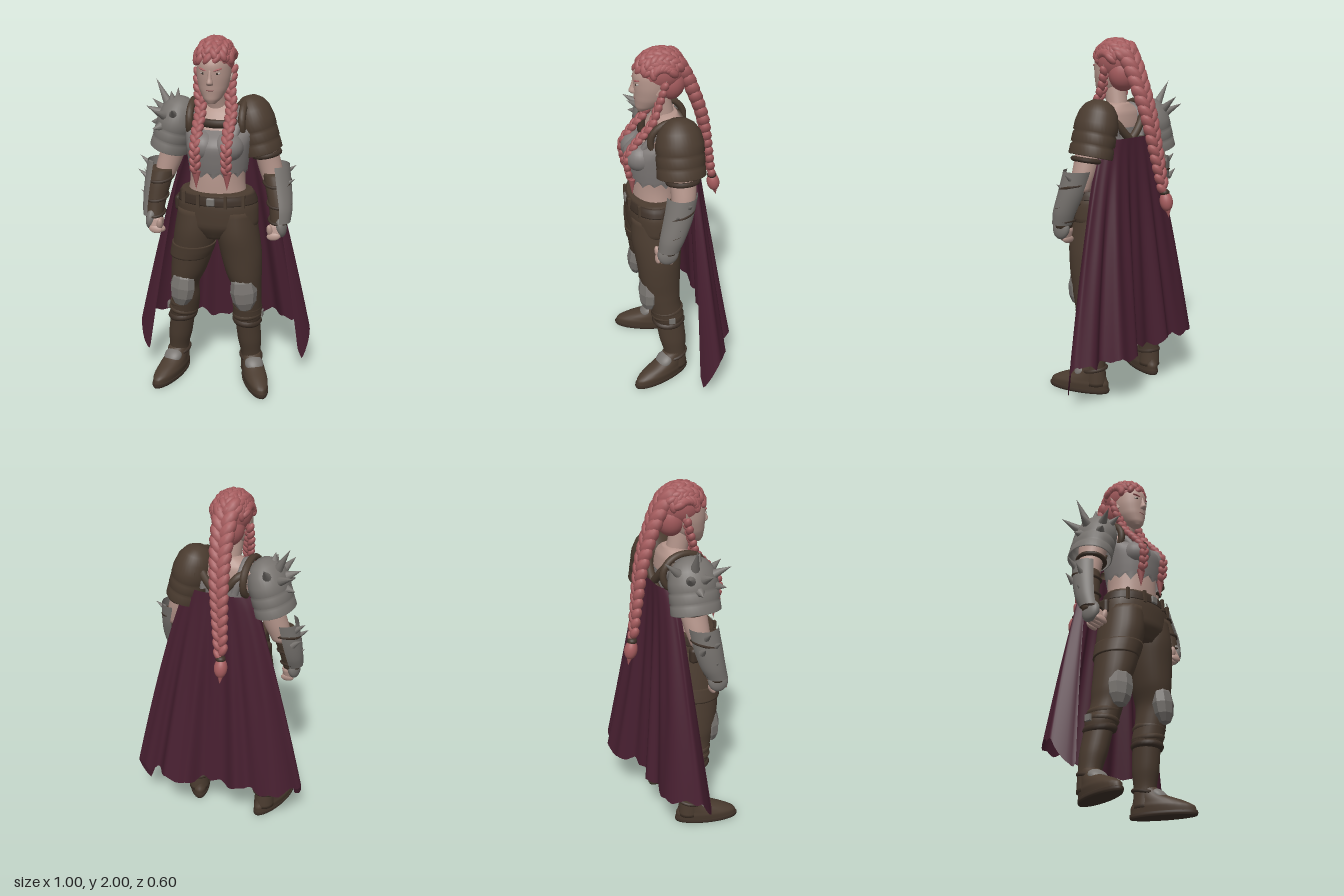
import * as THREE from 'three';
import { mergeGeometries } from 'three/addons/utils/BufferGeometryUtils.js';
import { RoundedBoxGeometry } from 'three/addons/geometries/RoundedBoxGeometry.js';

const V = (x, y, z) => new THREE.Vector3(x, y, z);
const curveOf = pts => new THREE.CatmullRomCurve3(pts.map(p => V(...p)));
const paint = (name, color, side = THREE.FrontSide) => {
  const m = new THREE.MeshStandardMaterial({ color, side });
  m.name = name;
  return m;
};

export function createModel() {
  const root = new THREE.Group();
  root.name = 'warrior';
  const skin = paint('skin', 0xb3948a), hair = paint('hair', 0xa55c5e);
  const leather = paint('leather', 0x4a3b2f, THREE.DoubleSide), dark = paint('darkLeather', 0x3d3027);
  const metal = paint('metal', 0x77736f, THREE.DoubleSide), cloth = paint('greyCloth', 0x7d7876, THREE.DoubleSide);
  const capeRed = paint('capeCloth', 0x471f30, THREE.DoubleSide);
  const lip = paint('lips', 0x8e5a58), eyeWhite = paint('eyeWhite', 0xb9b0aa);

  const add = (name, geo, mat, pos = [0, 0, 0], scale = [1, 1, 1], rot = [0, 0, 0], parent = root) => {
    const m = new THREE.Mesh(geo, mat);
    m.name = name;
    m.position.set(...pos);
    m.scale.set(...scale);
    m.rotation.set(...rot);
    parent.add(m);
    return m;
  };
  const ball = (name, mat, pos, scale, rot, parent) => add(name, new THREE.SphereGeometry(1, 24, 16), mat, pos, scale, rot, parent);
  const tube = (name, mat, pts, r) => add(name, new THREE.TubeGeometry(curveOf(pts), 24, r, 8), mat);

  // Smooth body from horizontal rings [x, y, z, rx, rz], listed bottom to top
  const loft = (name, mat, rings, { arc = null, jag = 0, parent = root } = {}) => {
    const n = 28, rows = (rings.length - 1) * 5, cols = arc ? n + 1 : n;
    const centre = curveOf(rings.map(r => r.slice(0, 3))), size = curveOf(rings.map(r => [r[3], r[4], 0]));
    const pos = [], idx = [];
    for (let i = 0; i <= rows; i++) {
      const c = centre.getPoint(i / rows), s = size.getPoint(i / rows);
      for (let j = 0; j < cols; j++) {
        const a = arc ? arc[0] + (arc[1] - arc[0]) * j / n : j / n * Math.PI * 2;
        const drop = i === 0 ? jag * (j % 2 ? 1 : -0.6 + 0.5 * Math.sin(j * 2.3)) : 0;
        pos.push(c.x + s.x * Math.sin(a), c.y + drop, c.z + s.y * Math.cos(a));
      }
    }
    for (let i = 0; i < rows; i++) for (let j = 0; j < n; j++) {
      const a = i * cols + j, b = i * cols + (j + 1) % cols;
      idx.push(a, b, b + cols, a, b + cols, a + cols);
    }
    if (!arc && !jag) {
      const k = pos.length / 3, lo = centre.getPoint(0), hi = centre.getPoint(1);
      pos.push(lo.x, lo.y, lo.z, hi.x, hi.y, hi.z);
      for (let j = 0; j < n; j++) {
        const q = (j + 1) % n;
        idx.push(k, q, j, k + 1, rows * n + j, rows * n + q);
      }
    }
    const g = new THREE.BufferGeometry();
    g.setAttribute('position', new THREE.Float32BufferAttribute(pos, 3));
    g.setIndex(idx);
    g.computeVertexNormals();
    return add(name, g, mat, [0, 0, 0], [1, 1, 1], [0, 0, 0], parent);
  };

  // Plait of tilted lobes that alternate either side of a curve
  const braid = (name, pts, r0, r1, n, outward) => {
    const c = curveOf(pts), parts = [];
    for (let i = 0; i < n; i++) for (const s of [-1, 1]) {
      const t = Math.min(1, (i + (s > 0 ? 0.5 : 0)) / n), p = c.getPointAt(t), T = c.getTangentAt(t);
      const r = r0 + (r1 - r0) * t, N = outward(p);
      N.addScaledVector(T, -N.dot(T)).normalize();
      const X = T.clone().cross(N), Y = T.clone().addScaledVector(X, -s * 0.6).normalize();
      const B = Y.clone().cross(N);
      const m = new THREE.Matrix4().makeBasis(B, Y, N).setPosition(p.addScaledVector(X, s * r * 0.45));
      parts.push(new THREE.SphereGeometry(1, 10, 8).scale(r * 0.7, r * 1.25, r * 0.8).applyMatrix4(m));
    }
    return add(name, mergeGeometries(parts), hair);
  };
  const spike = (p, d, r, h) => {
    const dir = V(...d).normalize();
    const m = add('spike', new THREE.ConeGeometry(r, h, 10), metal);
    m.position.set(...p).addScaledVector(dir, h * 0.45);
    m.quaternion.setFromUnitVectors(V(0, 1, 0), dir);
  };

  // Torso, neck and head
  loft('torso', skin, [[-.005, 1.1, .11, .17, .12], [-.005, 1.25, .1, .15, .128], [0, 1.36, .09, .155, .13], [0, 1.44, .08, .165, .13],
    [0, 1.52, .06, .185, .115], [-.005, 1.6, .04, .15, .085], [-.01, 1.65, .03, .06, .05]]);
  loft('neck', skin, [[-.012, 1.55, .03, .075, .07], [-.018, 1.63, .05, .058, .06], [-.025, 1.75, .08, .058, .065]]);
  loft('face', skin, [[-.025, 1.66, .165, .022, .02], [-.025, 1.685, .135, .05, .062], [-.025, 1.735, .112, .077, .09], [-.025, 1.8, .1, .09, .106],
    [-.025, 1.86, .09, .09, .117], [-.025, 1.93, .085, .07, .085]]);
  loft('nose', skin, [[-.025, 1.763, .2, .017, .02], [-.025, 1.775, .205, .018, .025], [-.025, 1.8, .2, .012, .02], [-.025, 1.84, .195, .009, .013]]);
  ball('upperLip', lip, [-.025, 1.734, .192], [.026, .006, .011]);
  ball('lowerLip', lip, [-.025, 1.722, .188], [.021, .007, .012]);
  for (const s of [-1, 1]) {
    const x = -.025 + s * .038;
    ball('eye', eyeWhite, [x, 1.822, .191], [.016, .006, .008], [0, s * .3, s * .12]);
    ball('iris', dark, [x, 1.822, .197], [.006, .006, .004]);
    ball('eyebrow', hair, [x, 1.842, .193], [.026, .005, .01], [0, s * .35, s * .25]);
    add('ear', new THREE.ConeGeometry(.026, .1, 10), skin, [-.025 + s * .097, 1.815, .065], [.4, 1, 1], [-.35, 0, -s * .25]);
  }

  // Hair swept back in thick ridges
  const skull = V(-.025, 1.875, .065);
  ball('hairCap', hair, skull.toArray(), [.101, .111, .13]);
  ball('hairBack', hair, [-.025, 1.81, .01], [.085, .1, .08]);
  for (let k = -2; k <= 2; k++) {
    const b = k * .5, pts = [];
    for (let i = 0; i <= 8; i++) {
      const a = .22 + i / 8 * 2.8;
      pts.push([skull.x + Math.sin(b) * .09, skull.y + Math.cos(b) * Math.sin(a) * .1, skull.z + Math.cos(b) * Math.cos(a) * .119]);
    }
    braid('scalpPlait', pts, .03, .034, 7, p => p.clone().sub(skull));
  }
  braid('backBraid', [[-.025, 1.92, -.02], [-.03, 1.85, -.065], [-.035, 1.75, -.11], [-.05, 1.58, -.17], [-.07, 1.38, -.208], [-.09, 1.2, -.24], [-.095, 1.17, -.248]],
    .056, .03, 15, () => V(0, .2, -1));
  ball('braidTie', dark, [-.094, 1.175, -.247], [.027, .02, .027]);
  ball('braidTuft', hair, [-.098, 1.125, -.257], [.036, .055, .036], [.2, 0, 0]);
  add('braidTuftTip', new THREE.ConeGeometry(.029, .08, 9), hair, [-.1, 1.075, -.268], [1, 1, 1], [Math.PI + .2, 0, 0]);
  for (const [s, x] of [[-1, -.092], [1, .075]]) {
    braid('sideBraid', [[-.025 + s * .085, 1.82, .06], [-.025 + s * .083, 1.73, .085], [x, 1.62, .13], [x, 1.52, .215], [x, 1.44, .265], [x, 1.36, .262], [x, 1.3, .25]],
      .028, .024, 14, () => V(0, 0, 1));
    add('braidTuft', new THREE.ConeGeometry(.026, .1, 9), hair, [x, 1.26, .242], [1, 1, .8], [Math.PI, 0, 0]);
    ball('bust', cloth, [s * .068, 1.435, .19], [.085, .08, .085]);
    tube('topStrap', cloth, [[s * .1, 1.48, .19], [s * .115, 1.56, .13], [s * .115, 1.625, .04], [s * .11, 1.55, -.05], [s * .09, 1.47, -.06]], .022);
    tube('backHarness', leather, [[s * .16, 1.59, .03], [s * .11, 1.57, -.05], [s * .04, 1.49, -.075], [-s * .06, 1.4, -.07]], .022);
    add('shoulderCollar', new THREE.TorusGeometry(.1, .016, 8, 32), leather, [s * .142 - .008, 1.545, .03], [1.2, 1.05, 1.3], [0, Math.PI / 2, 0]);
  }
  loft('cropTop', cloth, [[0, 1.285, .105, .158, .143], [0, 1.36, .105, .168, .158], [0, 1.44, .105, .176, .165], [0, 1.485, .09, .182, .15], [0, 1.52, .065, .188, .122]], { jag: .024 });
  tube('chestStrap', dark, [[-.15, 1.555, .12], [-.08, 1.552, .15], [0, 1.55, .168], [.08, 1.552, .15], [.14, 1.555, .12]], .024);

  // Trousers and belt
  loft('hips', leather, [[-.005, .92, .12, .1, .1], [0, 1, .12, .226, .143], [0, 1.1, .12, .224, .147], [-.005, 1.185, .115, .195, .138]]);
  loft('belt', dark, [[0, 1.122, .118, .222, .15], [-.002, 1.15, .117, .214, .15], [-.005, 1.172, .116, .205, .147]]);
  add('buckle', new RoundedBoxGeometry(.045, .045, .02, 2, .008), metal, [-.01, 1.147, .265]);
  for (const x of [-.17, -.08, .07, .16]) add('beltLoop', new THREE.BoxGeometry(.018, .07, .015), leather, [x, 1.148, .118 + .149 * Math.sqrt(1 - (x / .222) ** 2)]);
  add('hipPouch', new RoundedBoxGeometry(.05, .09, .09, 3, .02), dark, [-.222, 1.08, .08]);

  // Legs, knee guards and boots: side, knee x, thigh x, shin x, ankle x, toe angle
  for (const [s, knee, thigh, shin, ankle, turn] of [[-1, -.197, -.145, -.222, -.258, -.27], [1, .162, .13, .158, .176, .42]]) {
    loft('trouserLeg', leather, [[shin, .38, .062, .072, .08], [shin + (knee - shin) * .4, .43, .068, .083, .092], [knee, .52, .088, .08, .092], [knee, .6, .1, .08, .1], [(knee + thigh) / 2, .7, .11, .1, .115],
      [thigh, .82, .115, .115, .127], [thigh - s * .02, .95, .12, .117, .14], [thigh - s * .035, 1.08, .12, .11, .133]]);
    loft('boot', leather, [[ankle, .05, .025, .06, .065], [ankle, .15, .03, .057, .064], [ankle * .6 + shin * .4, .26, .042, .068, .078], [shin, .4, .06, .07, .082]]);
    [.385, .43, .48].forEach((y, i) => add('trouserFold', new THREE.TorusGeometry(.062, .024, 8, 28), i ? leather : dark,
      [shin + (knee - shin) * i * .3, y, .064 + i * .006], [1, 1.12, .9], [Math.PI / 2, s * .1 * (i % 2 ? 1 : -1), 0]));
    add('strapBuckle', new THREE.BoxGeometry(.015, .035, .035), metal, [shin + s * .085, .43, .06]);
    const guard = new THREE.SphereGeometry(1, 8, 6).toNonIndexed();
    guard.computeVertexNormals();
    add('kneeGuard', guard, metal, [knee - s * .004, .605, .178], [.076, .12, .058], [-.06, s * .2, s * .1]);
    const foot = new THREE.Group();
    foot.name = 'foot';
    foot.position.set(ankle - s * .004, 0, .02);
    foot.rotation.y = turn;
    root.add(foot);
    loft('sole', dark, [[0, 0, .11, .059, .182], [0, .012, .11, .065, .187], [0, .025, .11, .064, .186]], { parent: foot });
    loft('shoe', leather, [[0, .018, .11, .06, .18], [0, .05, .105, .065, .177], [0, .08, .085, .063, .145], [0, .12, .04, .058, .09], [0, .17, .01, .055, .06]], { parent: foot });
    ball('instepPlate', metal, [0, .118, .088], [.054, .034, .058], [.6, 0, 0], foot);
    add('ankleStrap', new THREE.TorusGeometry(.058, .011, 8, 24), dark, [0, .14, .012], [1, 1.15, 1], [Math.PI / 2 + .2, 0, 0], foot);
  }
  loft('thighWrap', leather, [[-.157, .79, .114, .117, .129], [-.145, .83, .115, .122, .135], [-.136, .87, .117, .123, .139]]);

  // Arms: bare upper arm, wrapped forearm, outer plate and fist
  const arms = [
    [-1, [[-.325, 1.2, .05, .055, .058], [-.297, 1.29, .035, .067, .067], [-.265, 1.39, .025, .07, .075], [-.235, 1.5, .02, .08, .09], [-.19, 1.6, .02, .06, .07]],
      [[-.362, .99, .125, .046, .046], [-.358, 1.08, .1, .055, .057], [-.342, 1.19, .075, .066, .067], [-.325, 1.265, .055, .068, .069]], [3.2, 5.9]],
    [1, [[.29, 1.2, .015, .055, .058], [.267, 1.29, .005, .066, .066], [.24, 1.39, .005, .067, .072], [.215, 1.5, .01, .08, .088], [.17, 1.6, .02, .06, .07]],
      [[.335, .99, .1, .046, .046], [.332, 1.08, .08, .055, .057], [.312, 1.19, .045, .064, .066], [.292, 1.265, .018, .066, .068]], [.1, 3.3]]];
  for (const [s, upper, fore, arc] of arms) {
    loft('upperArm', skin, upper);
    loft('forearmWrap', leather, fore);
    loft('forearmPlate', metal, fore.map(([x, y, z, rx, rz], i) => [x + s * .004, y + [.02, 0, 0, .045][i], z, rx + .014, rz + .014]), { arc });
    [0, 1, 2].forEach(i => {
      const [x, y, z, r] = fore[i];
      add('forearmBand', new THREE.TorusGeometry(r + .009, .008, 6, 28), dark, [x, y + .03, z - .008], [1, 1.08, 1], [Math.PI / 2 + .25, 0, 0]);
    });
    const [hx, , hz] = fore[0], fist = new THREE.Group();
    fist.name = 'fist';
    fist.position.set(hx - s * .012, .962, hz + .012);
    fist.rotation.set(-.25, 0, s * .15);
    root.add(fist);
    add('palm', new RoundedBoxGeometry(.075, .09, .09, 4, .03), skin, [0, 0, 0], [1, 1, 1], [0, 0, 0], fist);
    for (let i = 0; i < 4; i++) ball('finger', skin, [-s * .012, -.032, .036 - i * .024], [.038, .023, .014], [0, 0, 0], fist);
    ball('thumb', skin, [-s * .03, .0, .038], [.017, .036, .018], [.5, 0, 0], fist);
    ball('handPlate', metal, [s * .028, .022, 0], [.032, .065, .058], [0, 0, 0], fist);
  }
  // Forearm spikes
  [[1.27, .085, .04], [1.21, .08, .09], [1.19, .07, .02], [1.1, .06, .09]].forEach(([y, h, z]) => spike([-.4, y, z], [-1, .8, (z - .06) * 4], .02, h));
  [[1.27, .06, .0], [1.21, .06, .06], [1.13, .05, .05]].forEach(([y, h, z]) => spike([.365, y, z], [1, .7, (z - .04) * 4], .016, h));

  // Shoulder armour: overlapping lames below a dome
  const lames = [[.118, -.152], [.124, -.148], [.122, -.1], [.112, -.085], [.123, -.083], [.121, -.035], [.112, -.02], [.122, -.018], [.12, .03], [.105, .09], [.078, .13], [.04, .155], [0, .16]];
  const pauldron = (name, mat, pos, tilt, scale) =>
    add(name, new THREE.LatheGeometry(lames.map(p => new THREE.Vector2(...p)), 36), mat, pos, scale, [0, 0, tilt]);
  pauldron('leftPauldron', leather, [.182, 1.522, .005], .25, [.93, 1, 1.06]);
  add('armStrap', new THREE.TorusGeometry(.07, .014, 8, 28), dark, [.248, 1.362, .005], [1, 1.1, 1], [Math.PI / 2, .2, 0]);
  add('armStrap', new THREE.TorusGeometry(.071, .014, 8, 28), dark, [-.268, 1.372, .028], [1, 1.1, 1], [Math.PI / 2, -.2, 0]);
  pauldron('rightPauldron', metal, [-.25, 1.512, .035], -.28, [.9, .95, 1.12]);
  [[-.55, 1, -.15, .15], [-.8, .45, -.45, .11], [-1, .5, .2, .08], [-.4, .45, .85, .1], [.15, .5, .85, .08], [-.15, .7, -.8, .12], [-.1, 1, .15, .06],
    [-1, -.1, -.1, .05], [-.6, -.1, .85, .06]].forEach(([x, y, z, h]) => {
    const d = V(x, y, z).normalize();
    spike([-.255 + d.x * .1, 1.525 + d.y * .115, .035 + d.z * .125], [x, y, z], .026, h);
  });

  // Cape: folds widen from the shoulders to a torn hem
  const capeTop = curveOf([[-.19, 0, -.03], [-.12, 0, -.09], [0, 0, -.1], [.12, 0, -.1], [.2, 0, -.05]]);
  const capeHem = curveOf([[-.42, 0, .09], [-.5, 0, 0], [-.46, 0, -.1], [-.36, 0, -.185], [-.25, 0, -.165], [-.17, 0, -.2], [-.05, 0, -.165], [.05, 0, -.19],
    [.13, 0, -.26], [.25, 0, -.275], [.34, 0, -.2], [.42, 0, -.215], [.5, 0, -.13], [.44, 0, -.06]]);
  const cape = new THREE.PlaneGeometry(1, 1, 120, 30), cp = cape.attributes.position;
  for (let i = 0; i < cp.count; i++) {
    const u = cp.getX(i) + .5, v = .5 - cp.getY(i), a = capeTop.getPoint(u), b = capeHem.getPoint(u);
    const tear = .05 * Math.abs(((u * 13) % 1) - .5) + .06 * Math.abs(((u * 5.3 + .2) % 1) - .5);
    const corner = .16 * Math.max(0, 1 - Math.abs(u - .01) / .07) + .19 * Math.max(0, 1 - Math.abs(u - .975) / .08);
    const hem = .26 + tear - corner, k = Math.pow(v, .75), kz = Math.pow(v, 1.2);
    cp.setXYZ(i, a.x + (b.x - a.x) * k, 1.47 + (hem - 1.47) * v, a.z + (b.z - a.z) * kz + .008 * Math.sin(u * 60) * Math.min(1, v * 2));
  }
  cape.computeVertexNormals();
  add('cape', cape, capeRed);
  return root;
}
